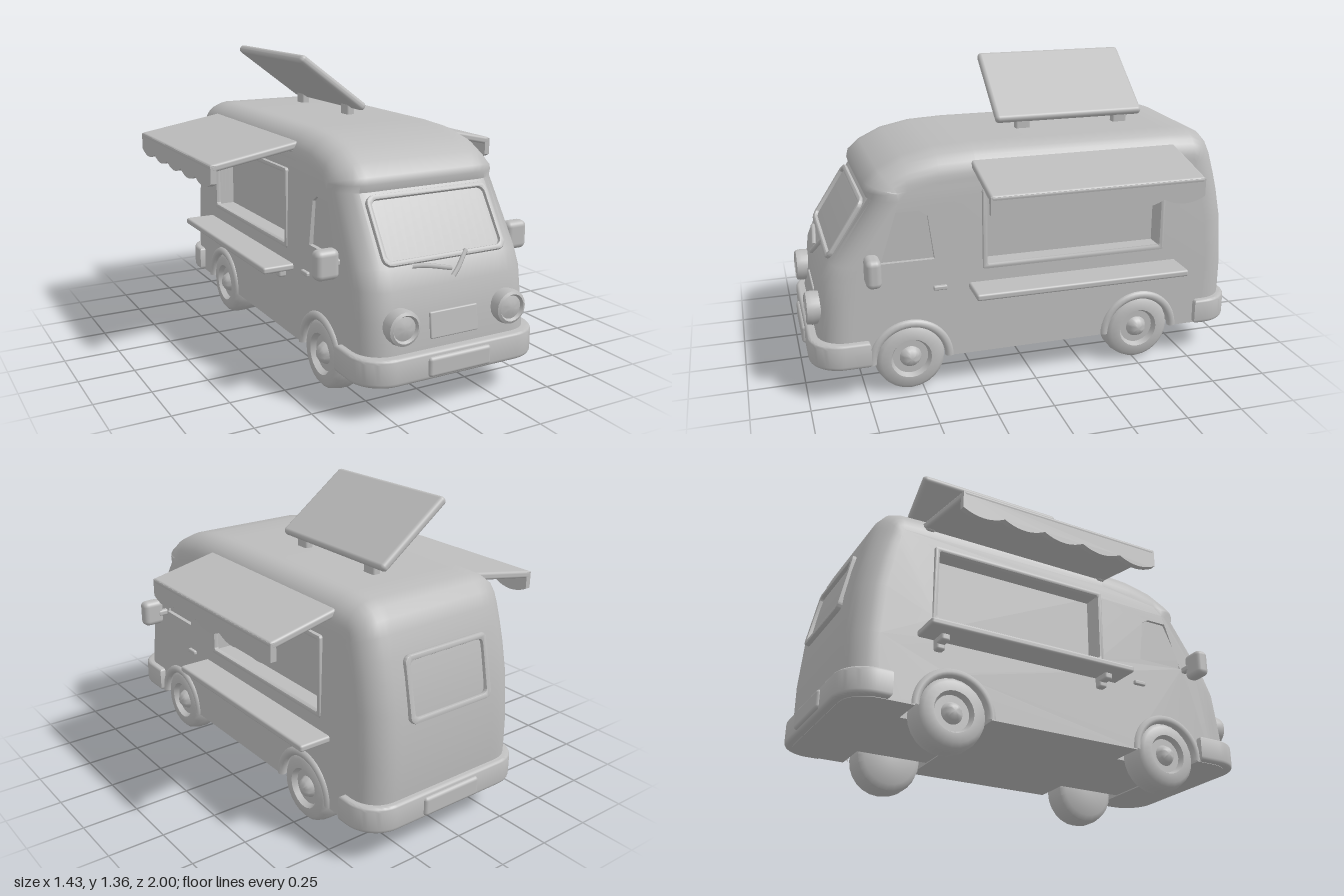
import * as THREE from 'three';
import { toCreasedNormals } from 'three/addons/utils/BufferGeometryUtils.js';
import { RoundedBoxGeometry } from 'three/addons/geometries/RoundedBoxGeometry.js';

const grey = new THREE.MeshStandardMaterial({ color: 0xbcbcbc });
grey.name = 'grey';

const WHEEL_Z = [0.555, -0.51];
const ARCH = 0.17;

// Outline of the nose and tail as [z, y], bottom to top
const nose = [[0.94, 0.15], [0.945, 0.27], [0.93, 0.4], [0.915, 0.52], [0.88, 0.6], [0.705, 0.87],
  [0.712, 0.9], [0.705, 0.93], [0.65, 0.98], [0.545, 1.03], [0.41, 1.058], [0.25, 1.066]];
const tail = [[-0.95, 0.15], [-0.958, 0.3], [-0.96, 0.43], [-0.945, 0.647], [-0.92, 0.78], [-0.9, 0.86],
  [-0.875, 0.95], [-0.85, 1.005], [-0.815, 1.045], [-0.76, 1.062], [-0.65, 1.066]];

function zAt(line, y) {
  for (let i = 1; i < line.length; i++) {
    const [z0, y0] = line[i - 1], [z1, y1] = line[i];
    if (y <= y1) return z0 + (z1 - z0) * (y - y0) / (y1 - y0);
  }
  return line[line.length - 1][0];
}

const halfWidth = (y) => 0.412 - 0.025 * y;

function polygon(points) {
  return new THREE.Shape(points.map(([a, b]) => new THREE.Vector2(a, b)));
}

function roundedRect(w, h, r, Type = THREE.Shape) {
  const s = new Type();
  s.absarc(w / 2 - r, h / 2 - r, r, 0, Math.PI / 2);
  s.absarc(-w / 2 + r, h / 2 - r, r, Math.PI / 2, Math.PI);
  s.absarc(-w / 2 + r, -h / 2 + r, r, Math.PI, Math.PI * 1.5);
  s.absarc(w / 2 - r, -h / 2 + r, r, Math.PI * 1.5, Math.PI * 2);
  s.closePath();
  return s;
}

// Extrudes a (z, y) side outline along x, centred on x = 0
function sideExtrude(shape, width, steps = 1) {
  const g = new THREE.ExtrudeGeometry(shape, { depth: width, steps, bevelEnabled: false, curveSegments: 14 });
  return g.translate(0, 0, -width / 2).rotateY(-Math.PI / 2);
}

// Rounded rectangular frame facing +z
function frameGeometry(w, h, r, bar) {
  const s = roundedRect(w, h, r);
  s.holes.push(roundedRect(w - 2 * bar, h - 2 * bar, r * 0.7, THREE.Path));
  return toCreasedNormals(new THREE.ExtrudeGeometry(s, {
    depth: 0.012, bevelThickness: 0.006, bevelSize: 0.006, bevelOffset: -0.006, bevelSegments: 2, curveSegments: 6,
  }), 0.7);
}

const cabWindow = [[0.44, 0.605], [0.68, 0.605], [0.68, 0.66], [0.6, 0.825], [0.5, 0.825], [0.465, 0.8]];
const hatch = { z: -0.195, y: 0.715, w: 0.81, h: 0.32 };

// Shell: side outline with arches and openings, rounded over towards both sides
function bodyGeometry() {
  const s = new THREE.Shape();
  [...nose, ...tail.slice().reverse()].forEach(([z, y], i) => (i ? s.lineTo(z, y) : s.moveTo(z, y)));
  for (const z of [...WHEEL_Z].reverse()) {
    s.lineTo(z - ARCH, 0.15);
    s.absarc(z, 0.15, ARCH, Math.PI, 0, true);
  }
  s.closePath();
  s.holes.push(polygon(cabWindow));
  const { z, y, w, h } = hatch;
  s.holes.push(polygon([[z - w / 2, y - h / 2], [z + w / 2, y - h / 2], [z + w / 2, y + h / 2], [z - w / 2, y + h / 2]]));

  const g = sideExtrude(s, 2, 28);
  const p = g.attributes.position;
  const r = 0.12;
  for (let i = 0; i < p.count; i++) {
    let y = p.getY(i), z = p.getZ(i);
    const hw = halfWidth(y);
    const x = hw * Math.sin(p.getX(i) * Math.PI / 2);
    const u = Math.min(1, Math.max(0, (Math.abs(x) - hw + r) / r));
    const inset = r * (1 - Math.sqrt(1 - u * u));
    const yc = Math.min(y, 0.9);
    const dz = z - Math.min(zAt(nose, yc) - 0.13, Math.max(zAt(tail, yc) + 0.13, z));
    const dy = y - yc;
    const len = Math.hypot(dz, dy);
    if (len > 1e-4) {
      const k = Math.min(inset, len) / len;
      z -= dz * k;
      y -= dy * k;
    }
    p.setXYZ(i, x, y, z);
  }
  return toCreasedNormals(g, 0.75);
}

// Wrap-around bumper, facing -z
function bumperGeometry(back, front) {
  const w = 0.42, r = 0.13;
  const s = new THREE.Shape();
  s.moveTo(-w, back);
  s.lineTo(w, back);
  s.absarc(w - r, front - r, r, 0, Math.PI / 2);
  s.absarc(-w + r, front - r, r, Math.PI / 2, Math.PI);
  s.closePath();
  const g = new THREE.ExtrudeGeometry(s, { depth: 0.08, bevelThickness: 0.018, bevelSize: 0.015, bevelSegments: 4, curveSegments: 8 });
  return toCreasedNormals(g.rotateX(-Math.PI / 2).translate(0, 0.17, 0), 0.8);
}

function lathe(points, segments) {
  return toCreasedNormals(new THREE.LatheGeometry(points.map(([x, y]) => new THREE.Vector2(x, y)), segments), 0.7);
}

export function createModel() {
  const root = new THREE.Group();
  root.name = 'foodTruck';
  const van = new THREE.Group();
  van.name = 'van';
  van.position.x = 0.047;
  root.add(van);

  const add = (name, geometry, x = 0, y = 0, z = 0, rx = 0, ry = 0, rz = 0) => {
    const m = new THREE.Mesh(geometry, grey);
    m.name = name;
    m.position.set(x, y, z);
    m.rotation.set(rx, ry, rz);
    van.add(m);
    return m;
  };
  const box = (w, h, d, r = 0.01) => new RoundedBoxGeometry(w, h, d, 3, r);

  // Shell, with inner walls behind the openings
  add('body', bodyGeometry());
  add('underbody', new THREE.BoxGeometry(0.48, 0.24, 1.7), 0, 0.275, 0);
  add('hatchInterior', new THREE.BoxGeometry(0.62, 0.42, 0.92), 0, hatch.y, hatch.z);
  add('cabGlass', sideExtrude(polygon(cabWindow), 0.755));

  // Windscreen, rear window and grille
  add('windscreenFrame', frameGeometry(0.59, 0.3, 0.04, 0.022), 0, 0.73, 0.793, -0.575);
  add('rearWindowFrame', frameGeometry(0.44, 0.28, 0.03, 0.025), 0, 0.725, -0.928, 0.2, Math.PI);
  add('grille', box(0.23, 0.11, 0.016, 0.006), 0, 0.36, 0.935, -0.12);

  // Wipers
  for (const [a, b, c] of [[[-0.18, 0.605], [-0.12, 0.6], [0, 0.575]], [[0, 0.545], [0.03, 0.57], [0.09, 0.63]]]) {
    const path = new THREE.CatmullRomCurve3([a, b, c].map(([x, y]) => new THREE.Vector3(x, y, zAt(nose, y) + 0.018)));
    add('wiper', new THREE.TubeGeometry(path, 8, 0.01, 6));
  }

  // Bumpers
  add('frontBumper', bumperGeometry(0.745, 0.97), 0, 0, 0, 0, Math.PI);
  add('rearBumper', bumperGeometry(0.8, 0.97));
  for (const s of [1, -1]) add('bumperCentre', box(0.3, 0.085, 0.06, 0.015), 0, 0.208, s * 0.968);

  // Roof sign on its posts
  add('roofSign', box(0.415, 0.04, 0.705, 0.018), -0.08, 1.228, -0.273, 0, 0, -0.645);
  for (const z of [-0.05, -0.52]) add('signPost', box(0.04, 0.08, 0.07), 0.06, 1.085, z);

  const wheel = lathe([[0, -0.075], [0.125, -0.075], [0.148, -0.058], [0.157, -0.02], [0.157, 0.02], [0.148, 0.056],
    [0.13, 0.072], [0.09, 0.074], [0.078, 0.05], [0.048, 0.05], [0.036, 0.072], [0.02, 0.083], [0, 0.086]], 24);
  const lamp = lathe([[0.066, -0.03], [0.074, 0.03], [0.07, 0.052], [0.058, 0.058], [0.05, 0.046], [0.025, 0.054], [0, 0.057]], 20);
  const archLip = new THREE.TorusGeometry(ARCH, 0.02, 8, 24, Math.PI).rotateY(Math.PI / 2);
  const hatchFrame = frameGeometry(hatch.w + 0.04, hatch.h + 0.04, 0.012, 0.022);

  for (const s of [1, -1]) {
    const side = s > 0 ? 'left' : 'right';

    for (const z of WHEEL_Z) {
      add(side + 'Wheel', wheel, s * 0.333, 0.157, z, 0, 0, -s * Math.PI / 2);
      add(side + 'WheelArch', archLip, s * 0.4, 0.152, z);
    }
    add(side + 'Headlight', lamp, s * 0.257, 0.385, 0.927, Math.PI / 2);

    // Mirror on its arm
    add(side + 'Mirror', box(0.105, 0.125, 0.065, 0.025), s * 0.466, 0.605, 0.715);
    add(side + 'MirrorArm', box(0.08, 0.03, 0.03), s * 0.405, 0.6, 0.695);
    add(side + 'DoorHandle', box(0.02, 0.02, 0.06, 0.006), s * 0.405, 0.475, 0.42);

    // Serving hatch and counter
    add(side + 'HatchFrame', hatchFrame, s * (halfWidth(hatch.y) - 0.008), hatch.y, hatch.z, 0, s * Math.PI / 2);
    add(side + 'Counter', box(0.17, 0.03, 0.975), s * 0.458, 0.465, -0.195);
    for (const z of [0.2, -0.59]) {
      add(side + 'CounterBracket', box(0.09, 0.035, 0.04), s * 0.435, 0.44, z);
      add(side + 'CounterBracketFoot', box(0.04, 0.05, 0.04), s * 0.415, 0.425, z);
    }

    // Awning with a scalloped valance
    const inner = 0.35, outer = s > 0 ? 0.667 : 0.762;
    const run = outer - inner, drop = 0.07;
    add(side + 'Awning', box(Math.hypot(run, drop), 0.034, 0.935, 0.012),
      s * (inner + outer) / 2, 1.001 - drop / 2, -0.2, 0, 0, -s * Math.atan2(drop, run));
    const v = new THREE.Shape();
    const z0 = -0.667, n = 5, step = 0.934 / n;
    v.moveTo(z0, 0.945);
    v.lineTo(z0, 0.868);
    for (let i = 0; i < n; i++) {
      v.quadraticCurveTo(z0 + (i + 0.5) * step, 0.818, z0 + (i + 1) * step, 0.868);
    }
    v.lineTo(z0 + n * step, 0.945);
    v.closePath();
    add(side + 'AwningValance', toCreasedNormals(sideExtrude(v, 0.026), 0.5), s * (outer - 0.013), 0, 0);
    for (const z of [0.24, -0.64]) add(side + 'AwningHinge', box(0.06, 0.04, 0.04), s * 0.365, 0.99, z);
  }
  return root;
}
